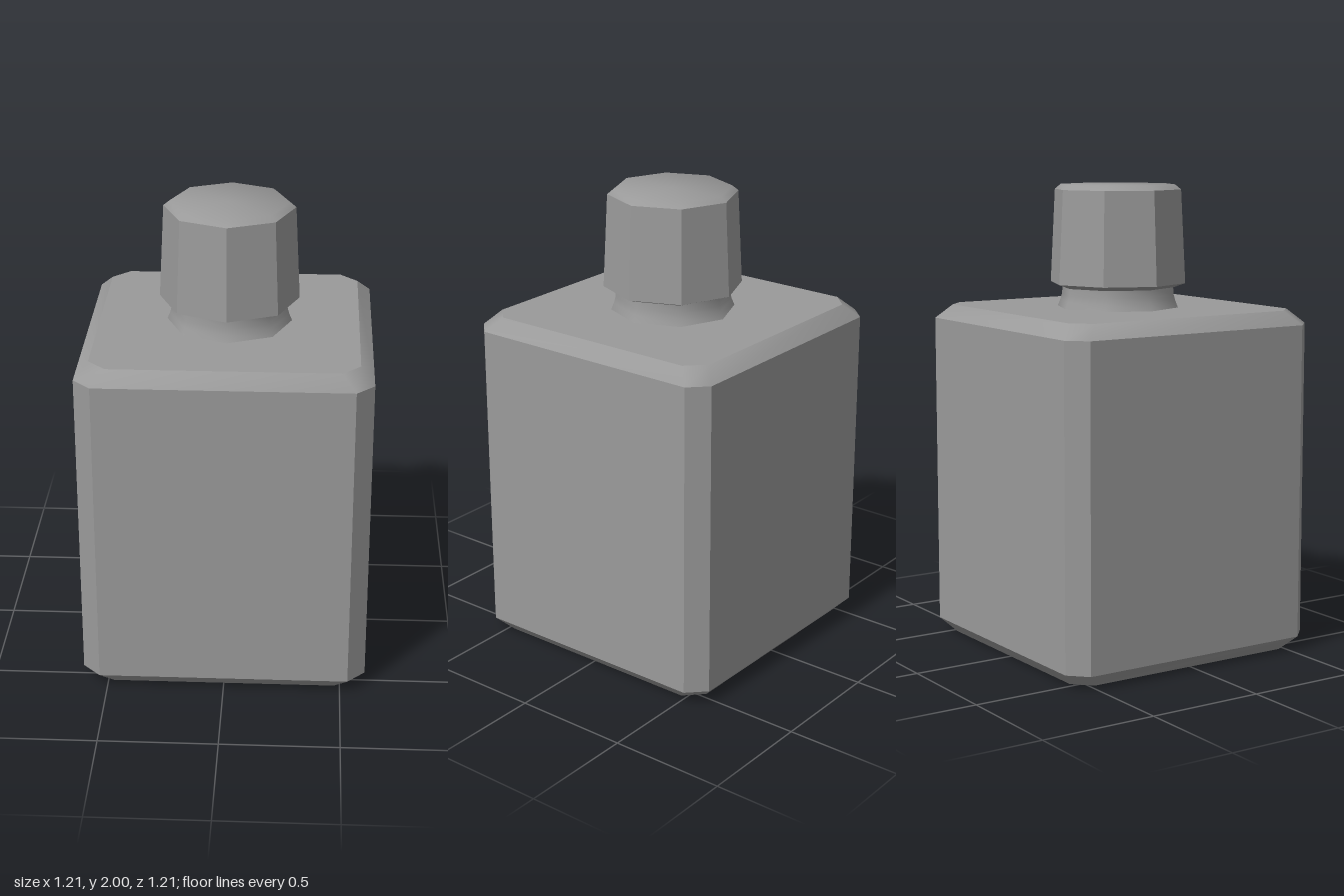
import * as THREE from 'three';
import { toCreasedNormals } from 'three/addons/utils/BufferGeometryUtils.js';

const material = new THREE.MeshStandardMaterial({ color: 0x9a9a9a });

// Square outline with cut corners: h = half width, c = where the corner cut starts
const ring = (h, c, y) => [
  [c, h], [h, c], [h, -c], [c, -h], [-c, -h], [-h, -c], [-h, c], [-c, h],
].map(([x, z]) => [x, y, z]);

// Skin a stack of rings (bottom to top) and close both ends
function loft(rings) {
  const n = rings[0].length;
  const index = [];
  for (let r = 0; r < rings.length - 1; r++) {
    for (let i = 0; i < n; i++) {
      const a = r * n + i, b = r * n + (i + 1) % n;
      index.push(a, b, b + n, a, b + n, a + n);
    }
  }
  const top = (rings.length - 1) * n;
  for (let i = 1; i < n - 1; i++) {
    index.push(0, i + 1, i, top, top + i, top + i + 1);
  }
  const geometry = new THREE.BufferGeometry();
  geometry.setAttribute('position', new THREE.Float32BufferAttribute(rings.flat(2), 3));
  geometry.setIndex(index);
  return geometry;
}

// Eight-sided turned part from [radius, height] pairs, bottom to top
const turned = (profile) =>
  new THREE.LatheGeometry(profile.map(([r, y]) => new THREE.Vector2(r, y)), 8);

export function createModel() {
  const group = new THREE.Group();
  const add = (name, geometry, crease) => {
    const mesh = new THREE.Mesh(toCreasedNormals(geometry, crease), material);
    mesh.name = name;
    group.add(mesh);
  };

  // Square bottle with chamfered corners and bevelled ends
  add('bottleBody', loft([
    ring(0.55, 0.475, 0),
    ring(0.607, 0.532, 0.06),
    ring(0.607, 0.532, 1.415),
    ring(0.55, 0.475, 1.475),
  ]), 0.58);

  // Flared neck
  add('neck', turned([
    [0.265, 1.475], [0.253, 1.505], [0.246, 1.53], [0.243, 1.57],
  ]), 0.9);

  // Tapered cap with a sloped underside and a softly rounded top
  add('cap', turned([
    [0, 1.56], [0.24, 1.56], [0.296, 1.58], [0.276, 1.979], [0.25, 2], [0, 2],
  ]), 0.75);

  return group;
}
